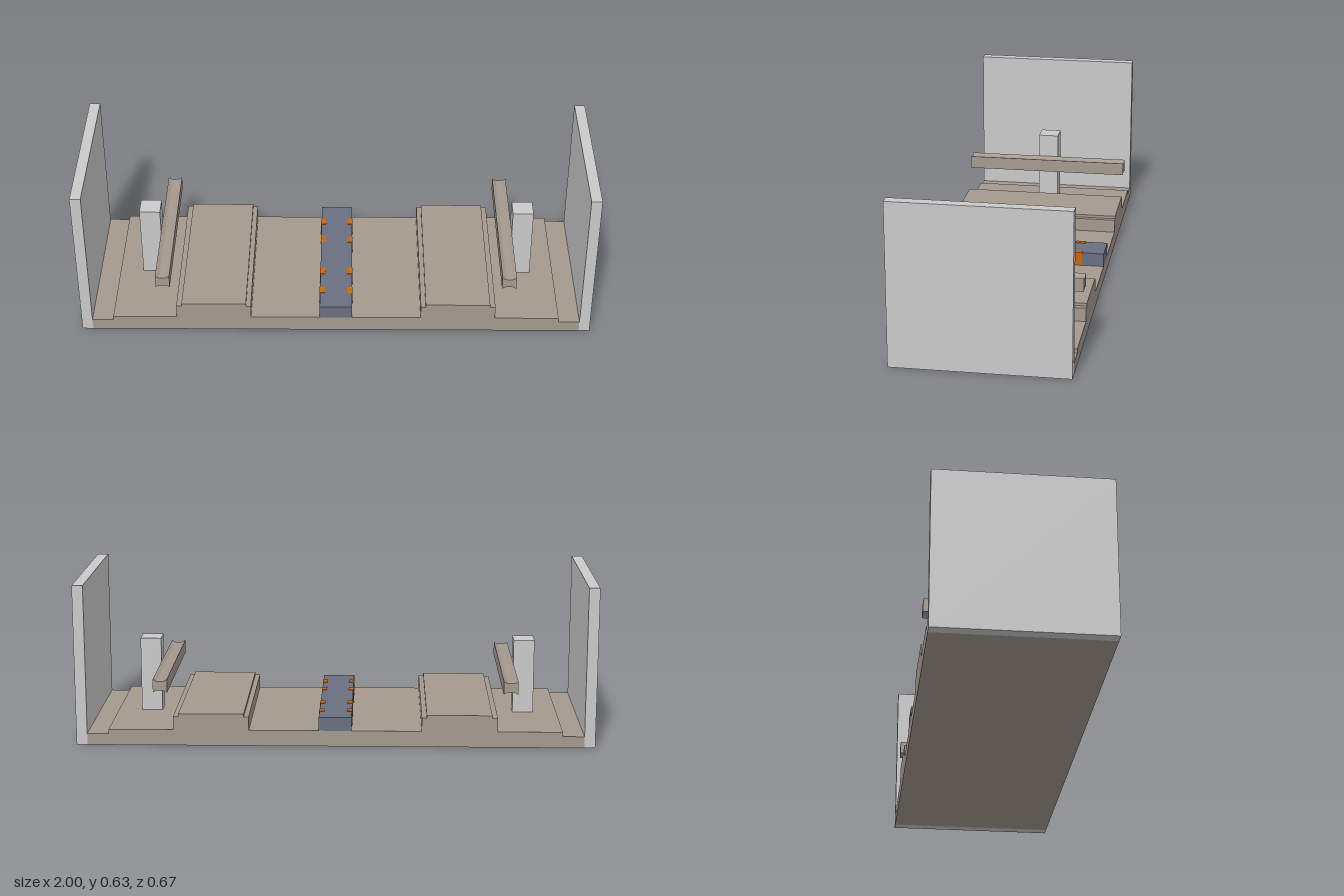
import * as THREE from 'three';

const DEPTH = 0.666;

export function createModel() {
  const group = new THREE.Group();
  const paint = (name, color) => {
    const m = new THREE.MeshStandardMaterial({ color });
    m.name = name;
    return m;
  };
  const grey = paint('light grey', 0xcacaca);
  const stone = paint('warm stone', 0xa4998f);
  const slate = paint('slate blue', 0x697080);
  const orange = paint('orange', 0xcc6608);

  const add = (name, geometry, material) => {
    const mesh = new THREE.Mesh(geometry, material);
    mesh.name = name;
    group.add(mesh);
    return mesh;
  };
  // Box given by its limits on each axis
  const box = (name, material, [x0, x1], [y0, y1], [z0, z1]) =>
    add(name, new THREE.BoxGeometry(Math.abs(x1 - x0), y1 - y0, z1 - z0), material)
      .position.set((x0 + x1) / 2, (y0 + y1) / 2, (z0 + z1) / 2);
  // Cross-section in x and y, running the full depth
  const extrude = (name, points, material) => {
    const shape = new THREE.Shape(points.map(([x, y]) => new THREE.Vector2(x, y)));
    const geometry = new THREE.ExtrudeGeometry(shape, { depth: DEPTH, bevelEnabled: false });
    geometry.translate(0, 0, -DEPTH / 2);
    return add(name, geometry, material);
  };

  // Floor with two raised, stepped platforms
  const half = [
    [0.333, 0.062], [0.333, 0.115], [0.352, 0.115], [0.352, 0.126],
    [0.604, 0.126], [0.604, 0.115], [0.625, 0.115], [0.625, 0.062],
    [0.875, 0.062], [0.875, 0.045], [0.958, 0.045], [0.958, 0],
  ];
  const mirrored = half.map(([x, y]) => [-x, y]).reverse();
  extrude('floor', [...mirrored, ...half], stone);

  // Walls, posts and waisted rails on both sides
  const waist = [[0.645, 0.21], [0.66, 0.218], [0.685, 0.218], [0.70, 0.21],
    [0.70, 0.262], [0.685, 0.254], [0.66, 0.254], [0.645, 0.262]];
  for (const s of [-1, 1]) {
    const side = s > 0 ? 'left' : 'right';
    box(side + 'Wall', grey, [s * 0.958, s], [0, 0.627], [-DEPTH / 2, DEPTH / 2]);
    box(side + 'Post', grey, [s * 0.70, s * 0.782], [0.062, 0.356], [-0.041, 0.041]);
    extrude(side + 'Rail', waist.map(([x, y]) => [s * x, y]), stone);
  }

  // Central block with orange clips wrapping its upper edges
  box('centreBlock', slate, [-0.063, 0.063], [0.062, 0.115], [-DEPTH / 2, DEPTH / 2]);
  for (const z of [-0.228, -0.105, 0.105, 0.228]) {
    for (const s of [-1, 1]) {
      const span = [z - 0.019, z + 0.019];
      box('clipTop', orange, [s * 0.044, s * 0.065], [0.114, 0.117], span);
      box('clipSide', orange, [s * 0.062, s * 0.065], [0.062, 0.117], span);
    }
  }
  return group;
}
